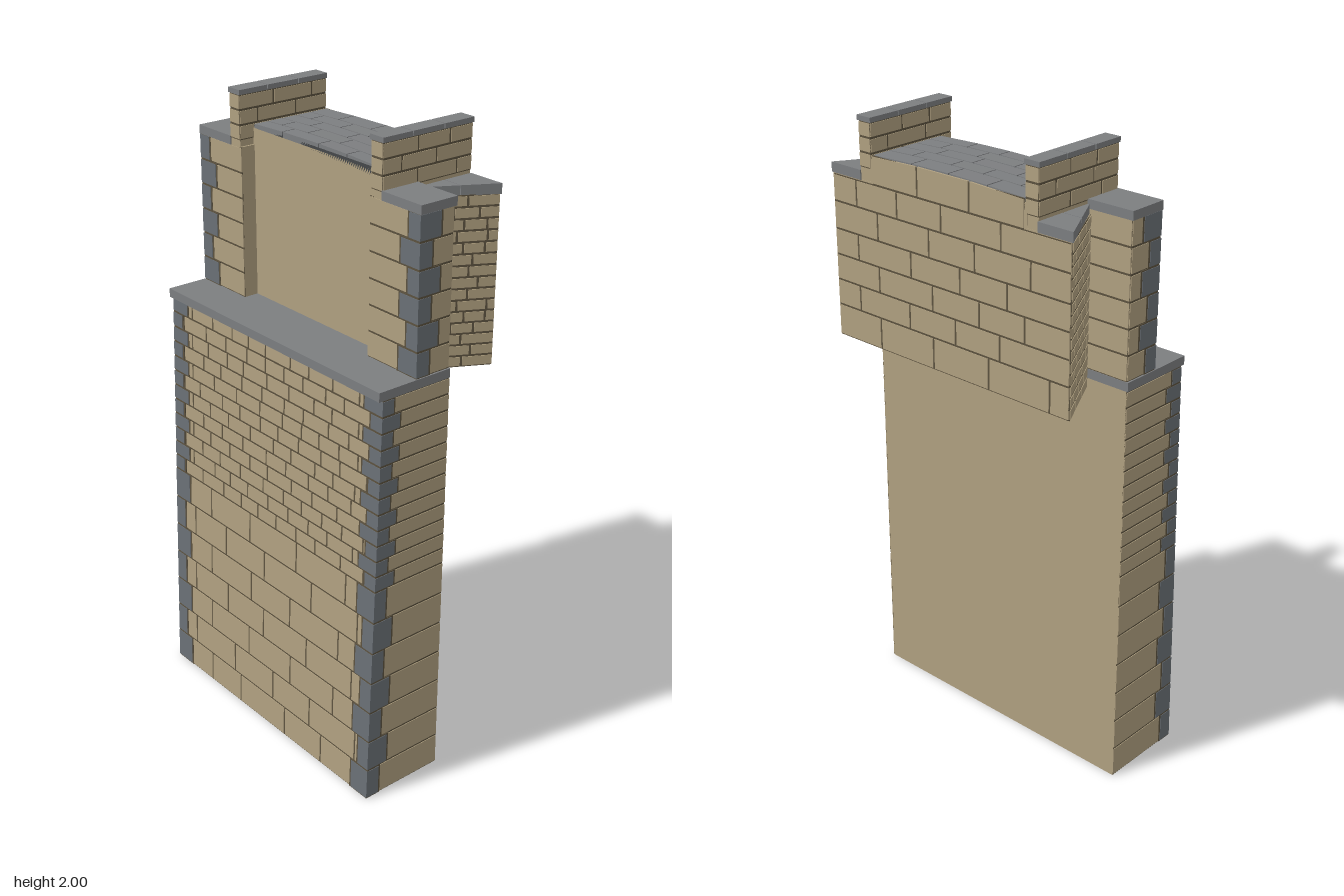
import * as THREE from 'three';
import { mergeGeometries } from 'three/addons/utils/BufferGeometryUtils.js';

const material = (color) => new THREE.MeshStandardMaterial({ color, flatShading: true });
const TAN = material(0xb0a080), MORTAR = material(0x5c523f);
const SLATE = material(0x7c7e80), QUOIN = material(0x6a7076), DARK = material(0x45484a);
const GAP = 0.007;

let seed = 7;
const random = () => (seed = (seed * 16807) % 2147483647) / 2147483647;

// box given by its extents
function block(x0, x1, y0, y1, z0, z1) {
  return new THREE.BoxGeometry(x1 - x0, y1 - y0, z1 - z0)
    .translate((x0 + x1) / 2, (y0 + y1) / 2, (z0 + z1) / 2);
}

// evenly spaced course heights
const rows = (from, to, n) => Array.from({ length: n + 1 }, (_, i) => from + (to - from) * i / n);

// joints along a course: staggered, slightly irregular
function joints(length, size, row) {
  const cuts = [0];
  let u = size * (row % 2 ? 0.5 : 0.95);
  while (u < length - size * 0.3) {
    cuts.push(u);
    u += size * (0.8 + 0.4 * random());
  }
  return [...cuts, length];
}

export function createModel() {
  const model = new THREE.Group();

  function add(name, geometries, mat, warp) {
    const geometry = mergeGeometries([geometries].flat());
    if (warp) {
      const p = geometry.attributes.position, v = new THREE.Vector3();
      for (let i = 0; i < p.count; i++) {
        warp(v.fromBufferAttribute(p, i));
        p.setXYZ(i, v.x, v.y, v.z);
      }
      geometry.computeVertexNormals();
    }
    const mesh = new THREE.Mesh(geometry, mat);
    mesh.name = name;
    model.add(mesh);
  }

  // brick facing on a vertical plane from a to b ([x, z], outside on the +z side when going +x)
  function facing(name, a, b, ys, size, warp) {
    const dx = b[0] - a[0], dz = b[1] - a[1], length = Math.hypot(dx, dz);
    const place = new THREE.Matrix4().makeBasis(
      new THREE.Vector3(dx / length, 0, dz / length), new THREE.Vector3(0, 1, 0),
      new THREE.Vector3(-dz / length, 0, dx / length)).setPosition(a[0], 0, a[1]);
    const bricks = [];
    for (let r = 0; r < ys.length - 1; r++) {
      const cuts = joints(length, typeof size === 'function' ? size(ys[r]) : size, r);
      for (let i = 0; i < cuts.length - 1; i++) {
        const left = cuts[i] + (i ? GAP / 2 : 0);
        const right = cuts[i + 1] - (i < cuts.length - 2 ? GAP / 2 : 0);
        bricks.push(block(left, right, ys[r] + GAP / 2, ys[r + 1] - GAP / 2, -0.003, 0.003).applyMatrix4(place));
      }
    }
    const bed = block(0, length, ys[0], ys[ys.length - 1], -0.001, 0.001).applyMatrix4(place);
    add(name + 'Mortar', bed, MORTAR, warp);
    add(name + 'Bricks', bricks, TAN, warp);
  }

  // the same facing mirrored onto the -z side when s is -1
  function sideFacing(name, s, a, b, ys, size, warp) {
    const p = [a[0], a[1] * s], q = [b[0], b[1] * s];
    if (s > 0) facing(name, p, q, ys, size, warp);
    else facing(name, q, p, ys, size, warp);
  }

  // alternating long and short cornerstones at a (-x, s*z) corner
  function quoins(name, s, x, z, ys, short, long, warp) {
    const stones = [], beds = [];
    for (let r = 0; r < ys.length - 1; r++) {
      const w = r % 2 ? long : short, d = r % 2 ? short : long;
      const stone = (out, extra, inset) => {
        const z0 = s * (z + out), z1 = s * (z - d - extra);
        return block(x - out, x + w + extra, ys[r] + inset, ys[r + 1] - inset, Math.min(z0, z1), Math.max(z0, z1));
      };
      stones.push(stone(0.005, 0, GAP / 2));
      beds.push(stone(0.0035, GAP, 0));
    }
    add(name + 'Joints', beds, MORTAR, warp);
    add(name, stones, QUOIN, warp);
  }

  // lower wall with a battered outer face
  const batter = (v) => { v.x += 0.03 * v.y * (0.04 - v.x) / 0.285; };
  const lowerRows = [...rows(0, 0.73, 7), ...rows(0.73, 1.33, 12).slice(1)];
  const brickSize = (y) => (y < 0.72 ? 0.2 : 0.1);
  add('lowerWall', block(-0.242, 0.04, 0, 1.33, -0.494, 0.494), TAN, batter);
  facing('lowerOuterFace', [-0.242, -0.494], [-0.242, 0.494], lowerRows, brickSize, batter);
  add('lowerLedge', block(-0.22, 0.04, 1.33, 1.358, -0.498, 0.498), SLATE);

  // walkway block between the piers, and the flared projecting gallery
  const arch = (v) => { if (v.y > 1.85) v.y -= 0.09 * v.z * v.z; };
  add('recessedWall', block(-0.033, 0.05, 1.355, 1.88, -0.3, 0.3), TAN);
  const plan = new THREE.Shape([[0.03, 0.345], [0.242, 0.456], [0.242, -0.456], [0.03, -0.345]]
    .map(([x, z]) => new THREE.Vector2(x, -z)));
  const prism = (shape, y0, y1) => new THREE.ExtrudeGeometry(shape, { depth: y1 - y0, bevelEnabled: false })
    .rotateX(-Math.PI / 2).translate(0, y0, 0);
  add('gallery', prism(plan, 1.3, 1.812), TAN);
  add('galleryTop', block(0.03, 0.242, 1.8, 1.88, -0.3, 0.3), TAN);
  facing('galleryFront', [0.242, 0.456], [0.242, -0.456], [1.3, 1.4, 1.48, 1.56, 1.64, 1.725, 1.807], 0.19);
  facing('galleryFrontTop', [0.242, 0.29], [0.242, -0.29], [1.807, 1.9], 0.19, arch);

  // paved deck, slightly cambered
  const tiles = [], columns = [-0.035, 0.015, 0.069, 0.122, 0.176, 0.241];
  for (let c = 0; c < 5; c++) {
    const cuts = joints(0.58, 0.142, c);
    for (let i = 0; i < cuts.length - 1; i++) {
      tiles.push(block(columns[c] + 0.002, columns[c + 1] - 0.002, 1.87, 1.9,
        cuts[i] - 0.288, cuts[i + 1] - 0.292));
    }
  }
  add('deckJoints', block(-0.033, 0.241, 1.87, 1.896, -0.29, 0.29), DARK, arch);
  add('deckTiles', tiles, SLATE, arch);

  for (const s of [1, -1]) {
    const side = s > 0 ? 'left' : 'right';
    const span = (x0, x1, y0, y1, za, zb) =>
      block(x0, x1, y0, y1, Math.min(s * za, s * zb), Math.max(s * za, s * zb));

    // ends of the lower wall
    sideFacing(side + 'LowerEnd', s, [-0.242, 0.494], [0.04, 0.494], lowerRows, 0.5, batter);
    quoins(side + 'LowerQuoins', s, -0.242, 0.494, lowerRows, 0.042, 0.07, batter);

    // pier with cornerstones and coping
    const pierRows = rows(1.358, 1.83, 6);
    add(side + 'Pier', span(-0.08, 0.037, 1.355, 1.83, 0.29, 0.491), TAN);
    sideFacing(side + 'PierEnd', s, [-0.08, 0.491], [0.037, 0.491], pierRows, 0.3);
    sideFacing(side + 'PierOuter', s, [-0.08, 0.29], [-0.08, 0.491], pierRows, 0.3);
    sideFacing(side + 'PierInner', s, [0.037, 0.491], [0.037, 0.345], pierRows, 0.3);
    quoins(side + 'PierQuoins', s, -0.08, 0.491, pierRows, 0.04, 0.07);
    add(side + 'PierCoping', span(-0.085, 0.044, 1.828, 1.855, 0.34, 0.498), SLATE);

    // flared gallery cheek and its triangular coping in two stones
    sideFacing(side + 'Cheek', s, [0.037, 0.347], [0.242, 0.458], rows(1.3, 1.812, 15), 0.075);
    const edge = (x) => 0.345 + (x - 0.04) * 0.575;
    const stones = [[0.042, 0.143], [0.145, 0.245]].map(([x0, x1]) => prism(new THREE.Shape(
      [[x0, 0.34], [x1, 0.34], [x1, edge(x1)], [x0, edge(x0)]].map(([x, z]) => new THREE.Vector2(x, -s * z))), 1.81, 1.84));
    add(side + 'CheekCoping', stones, SLATE);

    // parapet with coping
    const parapetRows = rows(1.85, 1.985, 3);
    add(side + 'Parapet', span(-0.081, 0.241, 1.805, 1.985, 0.296, 0.34), TAN);
    sideFacing(side + 'ParapetOutside', s, [-0.081, 0.34], [0.241, 0.34], parapetRows, 0.13);
    sideFacing(side + 'ParapetInside', s, [0.241, 0.296], [-0.081, 0.296], parapetRows, 0.13);
    sideFacing(side + 'ParapetInnerEnd', s, [0.241, 0.34], [0.241, 0.296], parapetRows, 0.2);
    sideFacing(side + 'ParapetOuterEnd', s, [-0.081, 0.296], [-0.081, 0.34], parapetRows, 0.2);
    const copings = [[-0.085, 0.018], [0.021, 0.133], [0.136, 0.245]]
      .map(([x0, x1]) => span(x0, x1, 1.985, 2, 0.291, 0.345));
    add(side + 'ParapetCoping', copings, SLATE);
  }
  return model;
}
